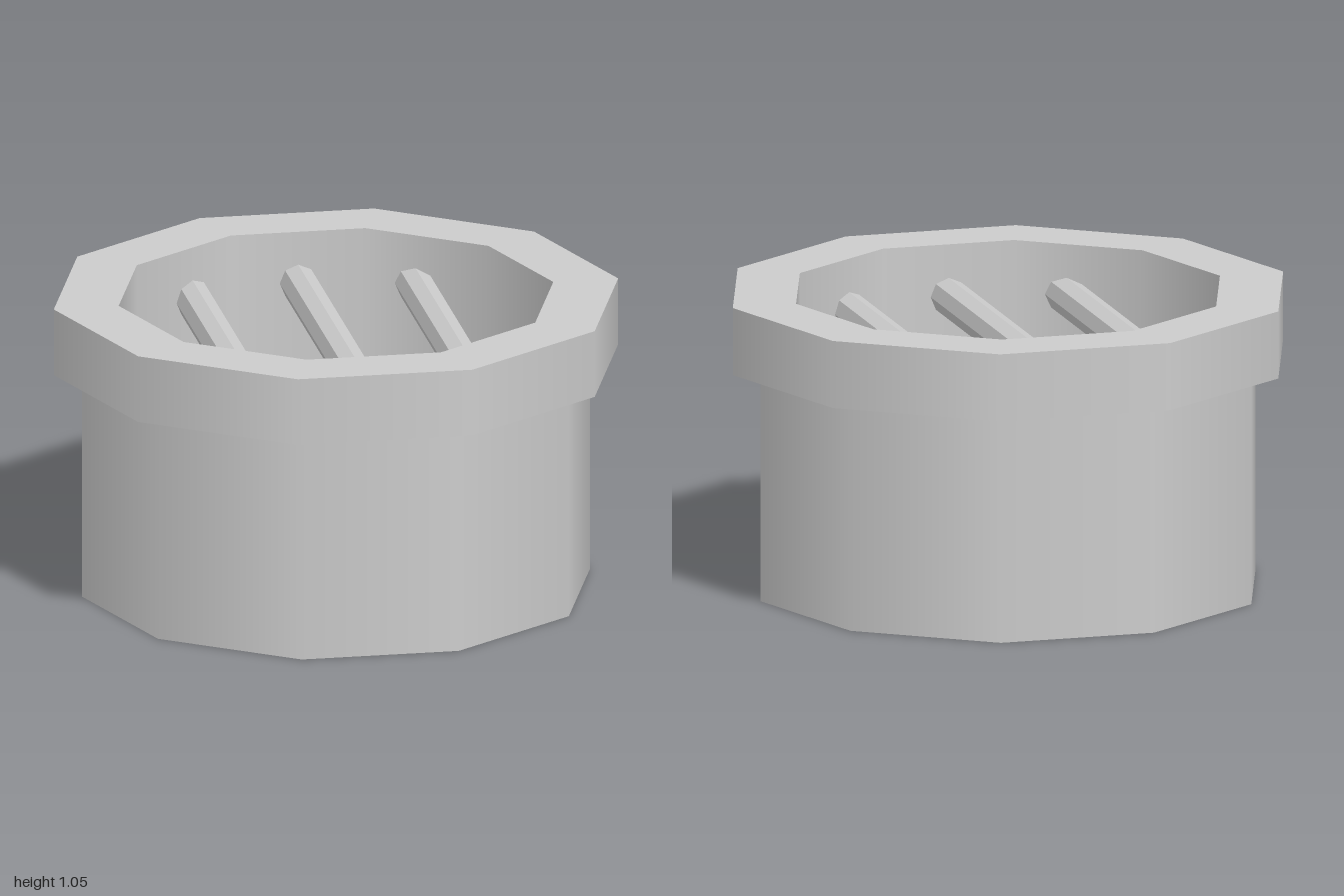
import * as THREE from 'three';
import { mergeGeometries, mergeVertices } from 'three/addons/utils/BufferGeometryUtils.js';

const SIDES = 10;
const INNER = 0.77;

// Ten-sided revolve with a corner on the x axis, smooth across its seam
function revolve(points) {
  const profile = points.map(([r, y]) => new THREE.Vector2(r, y));
  const geometry = new THREE.LatheGeometry(profile, SIDES, Math.PI / 2);
  geometry.normalizeNormals();
  geometry.deleteAttribute('uv');
  return mergeVertices(geometry);
}

export function createModel() {
  const group = new THREE.Group();
  const add = (name, geometry, options = {}) => {
    const material = new THREE.MeshStandardMaterial({ color: 0xcccccc, ...options });
    const mesh = new THREE.Mesh(geometry, material);
    mesh.name = name;
    group.add(mesh);
    return mesh;
  };

  // Thin outer skirt, collar and inner liner: each profile segment is revolved
  // alone to keep its edges sharp
  const outline = [
    [0.9, 0], [0.9, 0.815], [1, 0.815], [1, 1.055], [INNER, 1.055], [INNER, 0.2],
  ];
  const bands = outline.slice(1).map((p, i) => revolve([outline[i], p]));
  add('housing', mergeGeometries(bands), { side: THREE.DoubleSide });

  // Rounded bowl closing the liner
  const bowlDepth = 0.44, bowlTop = 0.46, rows = 4;
  const bowl = [];
  for (let i = 0; i <= rows; i++) {
    const a = (i / rows) * Math.PI / 2;
    bowl.push([INNER * Math.sin(a), bowlTop - bowlDepth * Math.cos(a)]);
  }
  add('bowl', revolve(bowl), { side: THREE.DoubleSide });

  // Octagonal grate bars, with their ends set into the liner
  for (const [x, length] of [[-0.395, 1.36], [0, 1.52], [0.395, 1.36]]) {
    const bar = add('grateBar', new THREE.CylinderGeometry(0.065, 0.065, length, 8), { flatShading: true });
    bar.rotation.x = Math.PI / 2;
    bar.position.set(x, 0.87, 0);
  }
  return group;
}
